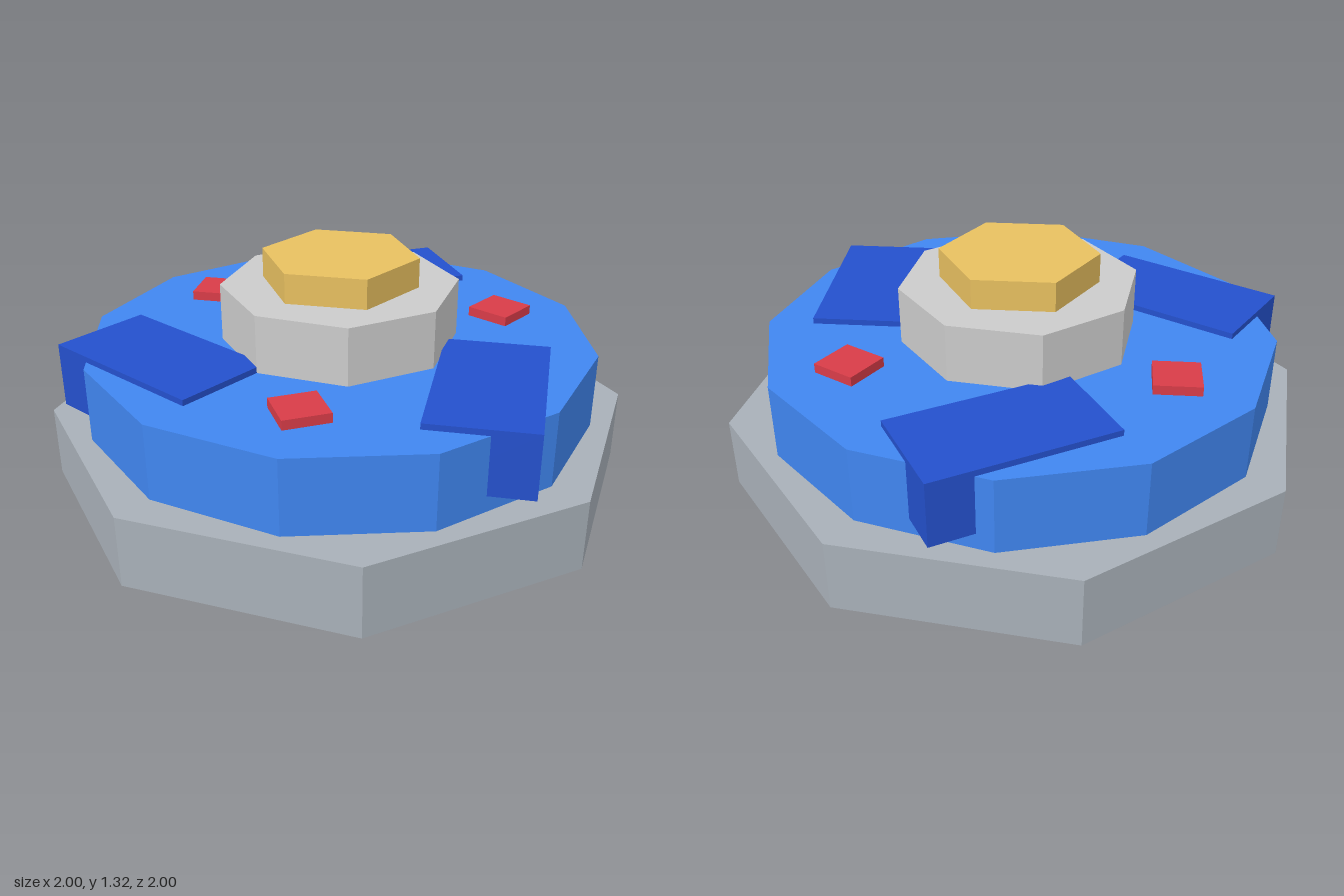
import * as THREE from 'three';

export function createModel() {
  const group = new THREE.Group();

  const add = (parent, name, geometry, color) => {
    const material = new THREE.MeshStandardMaterial({ color, flatShading: true });
    const mesh = new THREE.Mesh(geometry, material);
    mesh.name = name;
    parent.add(mesh);
    return mesh;
  };

  // Faceted layer between two heights; corners start on the z axis
  const layer = (name, rTop, rBottom, yBottom, yTop, sides, color) => {
    const geometry = new THREE.CylinderGeometry(rTop, rBottom, yTop - yBottom, sides);
    add(group, name, geometry, color).position.y = (yBottom + yTop) / 2;
  };

  // Stacked body, from the spinning tip up to the cap
  layer('tip', 0.2, 0.033, 0, 0.27, 8, 0xcccccc);
  layer('neck', 0.33, 0.2, 0.27, 0.37, 8, 0x2c2a35);
  layer('lowerCone', 1, 0.625, 0.37, 0.525, 8, 0x636869);
  layer('weightDisc', 1, 1, 0.525, 0.77, 8, 0xa8b0b8);
  layer('upperRing', 0.866, 0.866, 0.77, 1.025, 12, 0x4086f0);
  layer('hub', 0.4, 0.4, 1.025, 1.22, 8, 0xcccccc);
  layer('cap', 0.265, 0.265, 1.22, 1.32, 6, 0xe8c060);

  // Three blades set into the ring, alternating with small studs
  for (let i = 0; i < 3; i++) {
    const sector = new THREE.Group();
    sector.name = `sector${i + 1}`;
    sector.rotation.y = (i * Math.PI * 2) / 3;
    add(sector, 'blade', new THREE.BoxGeometry(0.62, 0.22, 0.35), 0x2450cc)
      .position.set(-0.31, 0.935, 0.535);
    add(sector, 'stud', new THREE.BoxGeometry(0.155, 0.06, 0.155), 0xd83c48)
      .position.set(0.3, 1.027, -0.52);
    group.add(sector);
  }

  return group;
}
